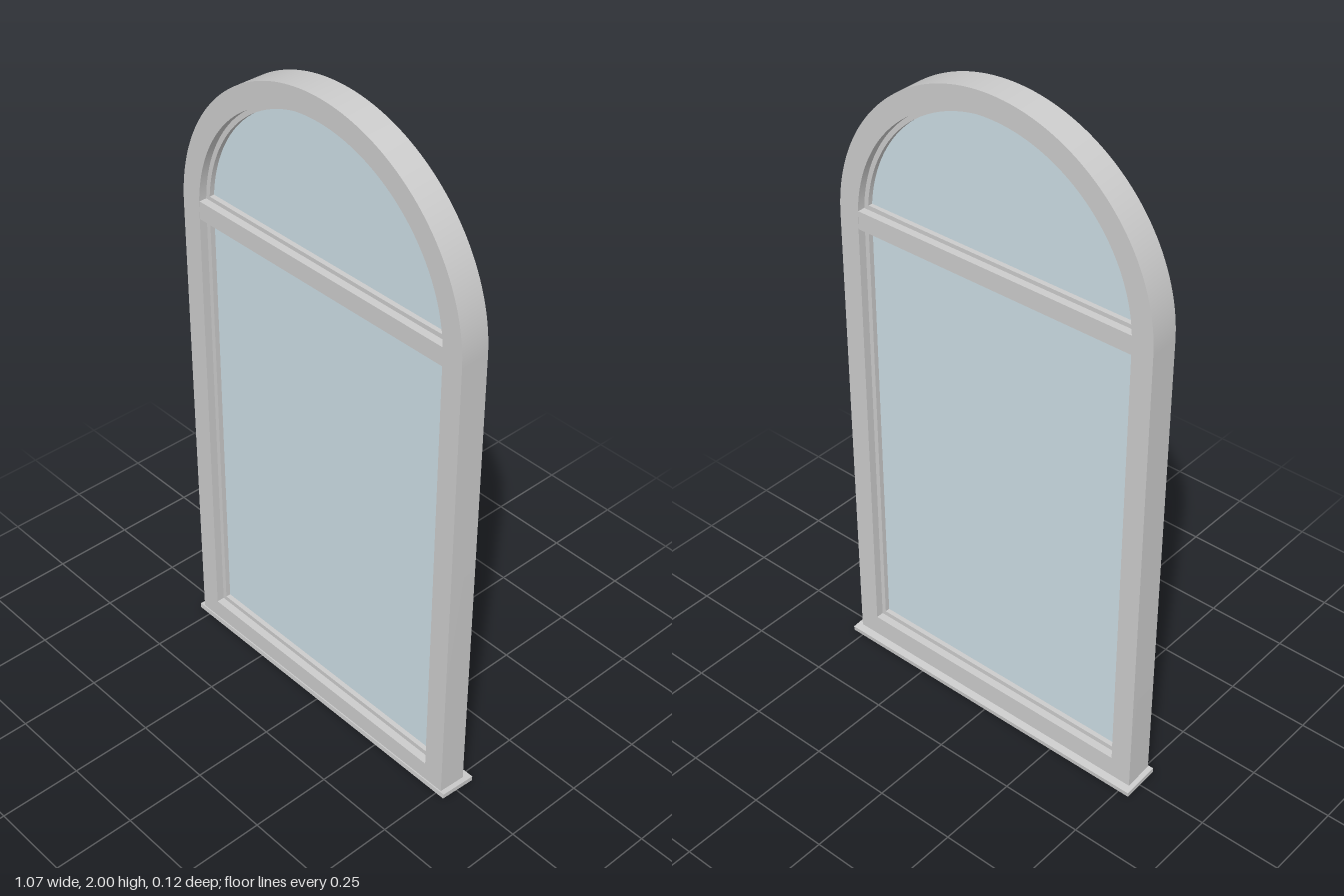
import * as THREE from 'three';
import { toCreasedNormals } from 'three/addons/utils/BufferGeometryUtils.js';

const SPRING = 1.48; // height where the arch begins
const grey = new THREE.MeshStandardMaterial({ color: 0xcccccc });
const glass = new THREE.MeshStandardMaterial({ color: 0xccdde4 });

// Upright outline with a semicircular head; the straight sides start at y = bottom
function arch(Type, r, bottom) {
  const p = new Type();
  const a = Math.asin(Math.max(0, bottom - SPRING) / r);
  if (bottom < SPRING) {
    p.moveTo(-r, bottom);
    p.lineTo(r, bottom);
    p.lineTo(r, SPRING);
  }
  p.absarc(0, SPRING, r, a, Math.PI - a, false);
  p.closePath();
  return p;
}

function rect(Type, half, y0, y1) {
  const p = new Type();
  p.moveTo(-half, y0);
  p.lineTo(half, y0);
  p.lineTo(half, y1);
  p.lineTo(-half, y1);
  p.closePath();
  return p;
}

function slab(name, shape, hole, z0, z1, material = grey) {
  if (hole) shape.holes.push(hole);
  const geo = new THREE.ExtrudeGeometry(shape, { depth: z1 - z0, bevelEnabled: false, curveSegments: 48 });
  geo.translate(0, 0, z0);
  const mesh = new THREE.Mesh(toCreasedNormals(geo, 0.5), material);
  mesh.name = name;
  return mesh;
}

export function createModel() {
  const { Shape, Path } = THREE;
  const model = new THREE.Group();
  model.name = 'archedWindow';

  // Outer frame and the bar between the two lights
  model.add(slab('frame', arch(Shape, 0.52, 0.015), arch(Path, 0.455, 0.085), -0.036, 0.052));
  model.add(slab('transom', rect(Shape, 0.455, 1.455, 1.51), null, -0.035, 0.051));

  // Slim glazing beads around each pane
  model.add(slab('lowerBead', rect(Shape, 0.455, 0.085, 1.455), rect(Path, 0.441, 0.1, 1.441), -0.012, 0.028));
  model.add(slab('upperBead', arch(Shape, 0.455, 1.51), arch(Path, 0.441, 1.522), -0.012, 0.028));

  // Panes
  model.add(slab('lowerPane', rect(Shape, 0.443, 0.098, 1.443), null, 0.003, 0.013, glass));
  model.add(slab('upperPane', arch(Shape, 0.443, 1.52), null, 0.003, 0.013, glass));

  // Sill, sloping down towards the back
  const sill = new THREE.Mesh(new THREE.BoxGeometry(1.07, 0.015, 0.116), grey);
  sill.name = 'sill';
  sill.position.set(0, 0.0135, -0.001);
  sill.rotation.x = -0.09;
  model.add(sill);

  return model;
}
